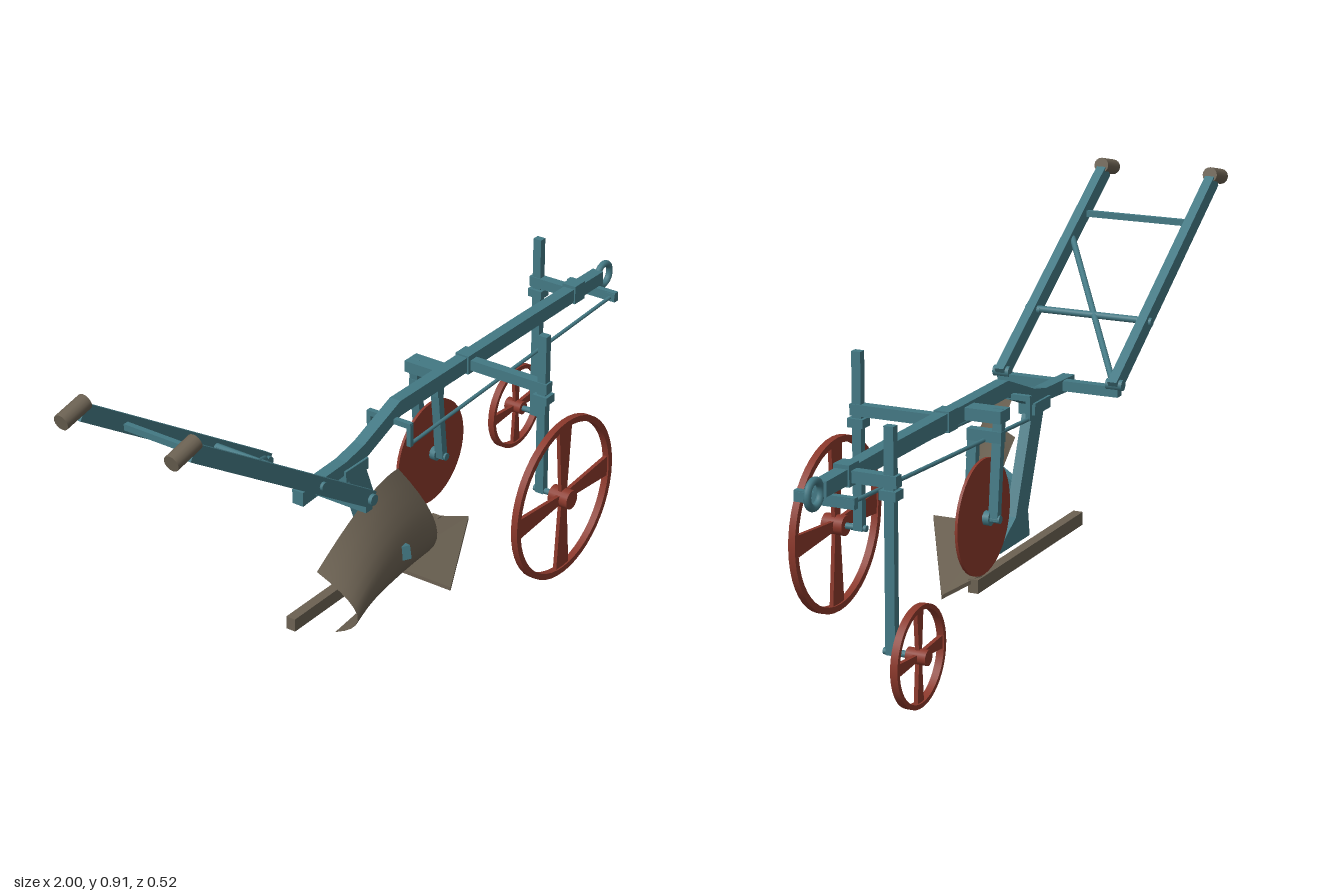
import * as THREE from 'three';

const mat = (name, color) => Object.assign(new THREE.MeshStandardMaterial({ color }), { name });
const V = (x, y, z) => new THREE.Vector3(x, y, z);

export function createModel() {
  const root = new THREE.Group();
  root.name = 'plough';
  const teal = mat('tealPaint', 0x437883);
  const red = mat('rustRed', 0x8a382b);
  const earth = mat('wornSteel', 0x6b6152);
  const sheet = mat('mouldboardSteel', 0x6b6152);
  sheet.side = THREE.DoubleSide;
  const BEAM_Z = -0.06;

  const add = (name, geo, material, x = 0, y = 0, z = 0, parent = root) => {
    const m = new THREE.Mesh(geo, material);
    m.name = name;
    m.position.set(x, y, z);
    parent.add(m);
    return m;
  };
  const box = (name, w, h, d, x, y, z, material = teal) =>
    add(name, new THREE.BoxGeometry(w, h, d), material, x, y, z);
  // Rectangular bar between two points (w sideways, h upwards)
  const bar = (name, a, b, w, h, material = teal) => {
    const m = add(name, new THREE.BoxGeometry(w, h, a.distanceTo(b)), material);
    m.position.copy(a).lerp(b, 0.5);
    m.lookAt(b);
    return m;
  };
  // Round rod between two points
  const rod = (name, a, b, r, material = teal, sides = 12) => {
    const m = add(name, new THREE.CylinderGeometry(r, r, a.distanceTo(b), sides), material);
    m.position.copy(a).lerp(b, 0.5);
    m.quaternion.setFromUnitVectors(V(0, 1, 0), b.clone().sub(a).normalize());
    return m;
  };
  // Side profile extruded across z
  const plate = (name, pts, depth, z, material = teal, parent = root) => {
    const shape = new THREE.Shape(pts.map(([x, y]) => new THREE.Vector2(x, y)));
    const geo = new THREE.ExtrudeGeometry(shape, { depth, bevelEnabled: false });
    return add(name, geo.translate(0, 0, -depth / 2), material, 0, 0, z, parent);
  };

  // Main beam and hitch ring
  plate('beam', [[-0.37, 0.425], [-0.13, 0.44], [0.02, 0.497], [0.93, 0.495], [0.93, 0.53],
    [0.6, 0.536], [0.02, 0.538], [-0.13, 0.482], [-0.2, 0.468], [-0.37, 0.462]], 0.032, BEAM_Z);
  add('hitchRing', new THREE.TorusGeometry(0.03, 0.009, 10, 28), teal, 0.957, 0.507, BEAM_Z);

  // Standard with its foot
  plate('standard', [[-0.2, 0.445], [-0.13, 0.445], [-0.03, 0.18], [0.06, 0.125], [0.06, 0.112],
    [-0.11, 0.112], [-0.1, 0.18]], 0.027, BEAM_Z);
  box('standardClamp', 0.09, 0.03, 0.045, -0.165, 0.432, BEAM_Z);

  // Handles with grips
  for (const z of [0.095, -0.215]) {
    bar('handle', V(-0.935, 0.875, z), V(-0.295, 0.46, z), 0.025, 0.042);
    rod('grip', V(-0.995, 0.872, z), V(-0.915, 0.89, z), 0.02, earth, 16);
    rod('handleBolt', V(-0.305, 0.467, z - 0.022), V(-0.305, 0.467, z + 0.022), 0.014);
    rod('handleNut', V(-0.49, 0.588, z - 0.02), V(-0.49, 0.588, z + 0.02), 0.011);
  }
  box('upperRung', 0.014, 0.016, 0.3, -0.8, 0.782, -0.06);
  rod('middleRung', V(-0.49, 0.59, -0.21), V(-0.49, 0.59, 0.09), 0.009);
  box('lowerRung', 0.026, 0.026, 0.33, -0.31, 0.449, -0.06);
  rod('handleBrace', V(-0.71, 0.733, 0.085), V(-0.31, 0.475, -0.205), 0.008);

  // Mouldboard: three curved cross-sections blended front to back
  const sections = [
    [V(-0.52, 0.375, 0.11), V(-0.52, 0.3, 0.225), V(-0.52, 0.23, 0.16)],
    [V(-0.24, 0.408, 0.04), V(-0.24, 0.295, 0.138), V(-0.24, 0.172, 0.085)],
    [V(0.045, 0.33, -0.07), V(0.045, 0.21, 0.045), V(0.045, 0.108, 0.005)],
  ];
  const quad = (p, t) => V(0, 0, 0)
    .addScaledVector(p[0], (1 - t) * (1 - 2 * t))
    .addScaledVector(p[1], 4 * t * (1 - t))
    .addScaledVector(p[2], t * (2 * t - 1));
  const NU = 14, NV = 10, pos = [], idx = [];
  for (let i = 0; i <= NU; i++) for (let j = 0; j <= NV; j++) {
    const column = [0, 1, 2].map((s) => quad(sections[s], j / NV));
    pos.push(...quad(column, i / NU).toArray());
    if (i < NU && j < NV) {
      const a = i * (NV + 1) + j, b = a + NV + 1;
      idx.push(a, a + 1, b, b, a + 1, b + 1);
    }
  }
  const board = new THREE.BufferGeometry();
  board.setAttribute('position', new THREE.Float32BufferAttribute(pos, 3));
  board.setIndex(idx);
  board.computeVertexNormals();
  add('mouldboard', board, sheet);
  bar('mouldboardBrace', V(-0.1, 0.22, BEAM_Z), V(-0.205, 0.282, 0.137), 0.022, 0.034);

  // Share: thin sloping blade, four corners with thickness
  const top = [[0.31, 0.078, -0.04], [0.21, 0.108, -0.097], [-0.08, 0.138, 0], [-0.08, 0.138, 0.178]];
  const sp = [...top, ...top.map(([x, y, z]) => [x, y - 0.01, z])].flat();
  const si = [0, 1, 2, 0, 2, 3, 4, 6, 5, 4, 7, 6];
  for (let i = 0; i < 4; i++) {
    const j = (i + 1) % 4;
    si.push(i, i + 4, j, j, i + 4, j + 4);
  }
  const share = new THREE.BufferGeometry();
  share.setAttribute('position', new THREE.Float32BufferAttribute(sp, 3));
  share.setIndex(si);
  const shareFlat = share.toNonIndexed();
  shareFlat.computeVertexNormals();
  add('share', shareFlat, earth);
  box('landside', 0.61, 0.034, 0.026, -0.068, 0.085, -0.087, earth);

  // Spoked wheel: flat rim, tapered spokes, hub
  const wheel = (name, r, x, y, z, rim, hubR, hubL) => {
    const g = new THREE.Group();
    g.name = name;
    g.position.set(x, y, z);
    root.add(g);
    const h = 0.009;
    const profile = [[r - rim, -h], [r, -h], [r, h], [r - rim, h], [r - rim, -h]]
      .map(([a, b]) => new THREE.Vector2(a, b));
    // separate strips keep the rim edges crisp
    for (let i = 0; i < 4; i++) {
      const geo = new THREE.LatheGeometry([profile[i], profile[i + 1]], 48);
      add('rim', geo.rotateX(Math.PI / 2), red, 0, 0, 0, g);
    }
    add('hub', new THREE.CylinderGeometry(hubR, hubR, hubL, 20).rotateX(Math.PI / 2), red, 0, 0, 0, g);
    for (let k = 0; k < 4; k++) {
      const e = r - rim * 0.7, w = r * 0.13;
      plate('spoke', [[0, -w * 0.4], [e, -w], [e, w], [0, w * 0.4]], 0.01, 0, red, g)
        .rotation.z = k * Math.PI / 2;
    }
  };
  wheel('furrowWheel', 0.216, 0.325, 0.221, 0.234, 0.016, 0.025, 0.056);
  wheel('landWheel', 0.118, 0.812, 0.12, -0.235, 0.011, 0.018, 0.05);

  // Wheel posts, stub axles, arms and clamps
  const post = (x, z, y0, y1, wheelZ, armEnd) => {
    const s = Math.sign(wheelZ);
    box('wheelPost', 0.02, y1 - y0, 0.024, x, (y0 + y1) / 2, z);
    rod('axle', V(x, y0 + 0.006, z - s * 0.02), V(x, y0 + 0.006, wheelZ + s * 0.02), 0.008);
    box('wheelArm', 0.026, 0.028, Math.abs(armEnd - BEAM_Z), x, 0.513, (armEnd + BEAM_Z) / 2);
    box('postClamp', 0.036, 0.022, 0.042, x, 0.482, z);
    box('beamClamp', 0.045, 0.05, 0.04, x, 0.516, BEAM_Z);
  };
  post(0.325, 0.17, 0.215, 0.655, 0.234, 0.187);
  post(0.812, -0.17, 0.114, 0.637, -0.235, -0.19);

  // Disc coulter in its fork
  add('coulterDisc', new THREE.CylinderGeometry(0.142, 0.142, 0.007, 40).rotateX(Math.PI / 2),
    red, 0.252, 0.267, -0.12);
  bar('coulterArm', V(0.255, 0.262, -0.088), V(0.233, 0.475, -0.088), 0.024, 0.02);
  bar('coulterArm', V(0.255, 0.262, -0.152), V(0.228, 0.53, -0.152), 0.024, 0.02);
  rod('coulterAxle', V(0.255, 0.267, -0.168), V(0.255, 0.267, -0.07), 0.01);
  for (const z of [-0.105, -0.136]) rod('coulterNut', V(0.255, 0.267, z - 0.008), V(0.255, 0.267, z + 0.008), 0.018);
  box('coulterYoke', 0.026, 0.028, 0.09, 0.235, 0.463, -0.12);
  box('coulterClamp', 0.05, 0.03, 0.12, 0.235, 0.515, -0.11);

  // Draft rods below the beam
  for (const z of [0, -0.12]) {
    rod('draftRod', V(-0.005, 0.442, z), V(0.905, 0.481, z), 0.005);
    box('rodHanger', 0.012, 0.06, 0.012, -0.002, 0.468, z);
    box('rodNut', 0.02, 0.02, 0.028, 0.905, 0.482, z);
  }
  box('rearCrossbar', 0.014, 0.014, 0.13, -0.002, 0.494, BEAM_Z);
  box('frontCrossbar', 0.016, 0.026, 0.15, 0.905, 0.482, BEAM_Z);

  return root;
}
